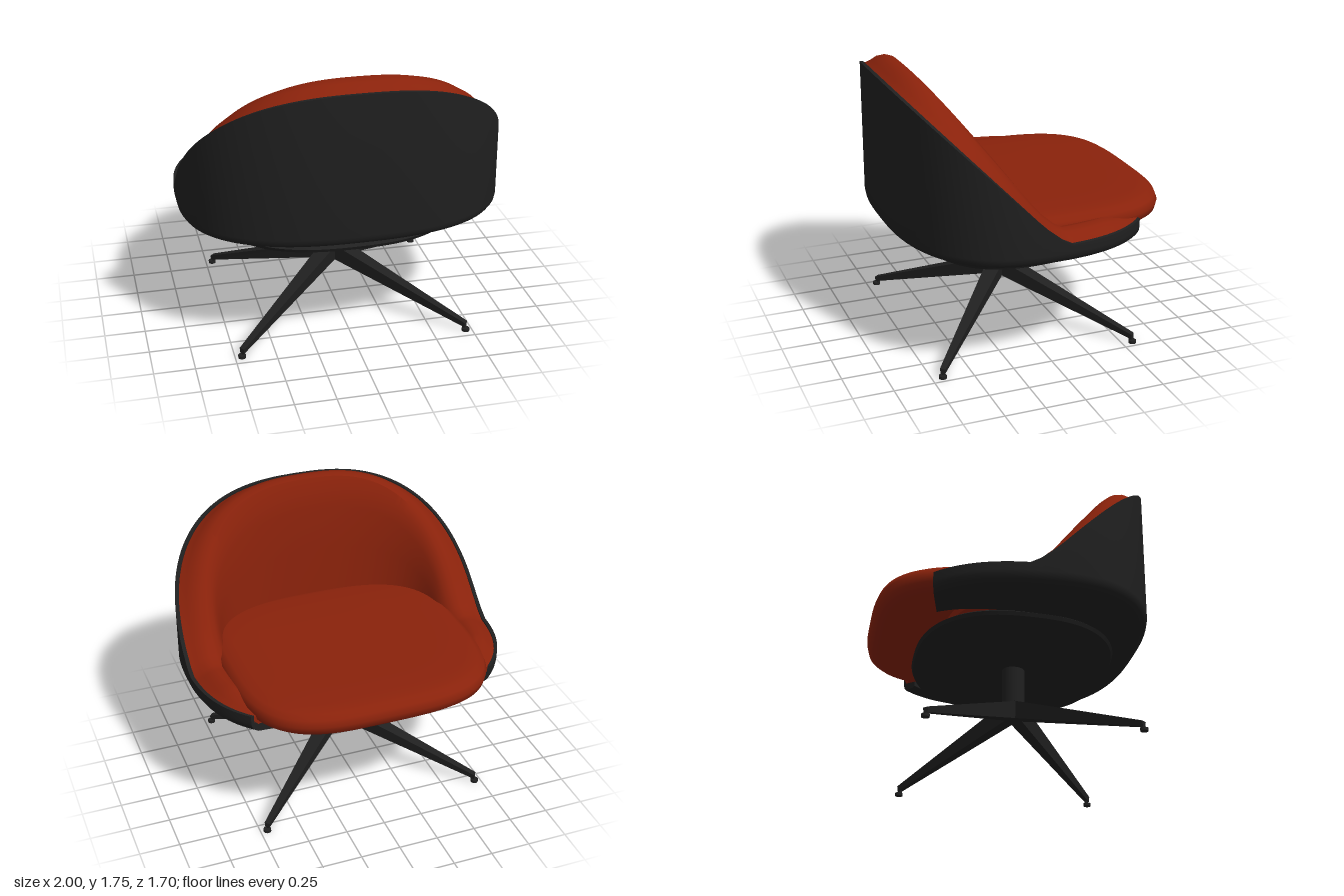
import * as THREE from 'three';
import { toCreasedNormals } from 'three/addons/utils/BufferGeometryUtils.js';

const fabric = new THREE.MeshStandardMaterial({ color: 0x8a220b });
fabric.name = 'rust fabric';
const black = new THREE.MeshStandardMaterial({ color: 0x202020 });
black.name = 'black';

// Point on a superellipse plan, moved inwards by inset
function planPoint(o, angle, inset) {
  const c = Math.cos(angle), s = Math.sin(angle), e = 2 / o.n;
  const a = Math.max(0, o.a - inset);
  const b = Math.max(0, s > 0 ? o.back - inset : o.front - inset * o.frontInset);
  return [a * Math.sign(c) * Math.abs(c) ** e, o.z + b * Math.sign(s) * Math.abs(s) ** e];
}

// Sweeps a section of [inset, height] points around a plan.
// Partial sweeps have closed sections with end caps.
function sweep(plan, section, from = 0, to = Math.PI * 2, capped = false, steps = 96) {
  const pos = [], index = [];
  let count = 0, first;
  for (let i = 0; i <= steps; i++) {
    const t = from + (to - from) * i / steps;
    const ring = section(planPoint(plan, t, 0)[1]);
    count = ring.length;
    first ??= ring;
    for (const [inset, y] of ring) {
      const [x, z] = planPoint(plan, t, inset);
      pos.push(x, y, z);
    }
  }
  for (let i = 0; i < steps; i++) {
    for (let j = 0; j < (capped ? count : count - 1); j++) {
      const k = (j + 1) % count;
      const a = i * count + j, b = a + count, c = (i + 1) * count + k, d = i * count + k;
      index.push(a, b, c, a, c, d);
    }
  }
  if (capped) {
    const flat = first.map(([d, y]) => new THREE.Vector2(-d, y));
    for (const [a, b, c] of THREE.ShapeUtils.triangulateShape(flat, [])) {
      const area = THREE.ShapeUtils.area([flat[a], flat[b], flat[c]]);
      const tri = area < 0 ? [a, b, c] : [a, c, b];
      index.push(...tri);
      index.push(...tri.reverse().map((v) => v + steps * count));
    }
  }
  const g = new THREE.BufferGeometry();
  g.setAttribute('position', new THREE.Float32BufferAttribute(pos, 3));
  g.setIndex(index);
  return toCreasedNormals(g, 0.7);
}

// Height of the shell rim: flat arms, then a slanted back
function rimHeight(z) {
  if (z < 0) return 0.87;
  if (z < 0.15) return 0.87 + z * 0.8;
  return 0.99 + (z - 0.15) * 1.014;
}

export function createModel() {
  const chair = new THREE.Group();
  chair.name = 'swivelLoungeChair';
  const add = (name, geometry, material, parent = chair) => {
    const mesh = new THREE.Mesh(geometry, material);
    mesh.name = name;
    parent.add(mesh);
    return mesh;
  };

  // Wrap-around shell, open towards -z
  const wrap = { a: 1, back: 0.75, front: 0.87, z: 0.1, n: 2.55, frontInset: 0.25 };
  const start = -0.761, end = Math.PI + 0.761;
  add('shell', sweep(wrap, (z) => {
    const rim = rimHeight(z), lift = 0.05 * Math.max(0, (0.1 - z) / 0.65);
    return [[0, rim], [0, 0.82], [0.005, 0.795], [0.02, 0.772], [0.06, 0.75], [0.23, 0.67 + lift],
      [0.27, 0.67 + lift], [0.27, 0.7 + lift], [0.06, 0.8], [0.024, 0.83], [0.024, rim]];
  }, start, end, true), black);

  // Upholstered lining with a rolled edge
  add('lining', sweep(wrap, (z) => {
    const rim = rimHeight(z);
    const roll = 0.05 * THREE.MathUtils.clamp((z + 0.55) / 0.25, 0, 1);
    const wall = (k) => 0.82 + (rim - 0.82) * k;
    return [[0.29, 0.8], [0.28, wall(0.15)], [0.27, wall(0.5)], [0.245, wall(0.82)],
      [0.225, wall(0.93) + roll * 0.4], [0.19, rim + roll * 0.8], [0.15, rim + roll],
      [0.1, rim + roll * 0.75], [0.07, rim + roll * 0.3], [0.023, rim - 0.01],
      [0.025, 0.82], [0.06, 0.8]];
  }, start, end, true), fabric);

  // Seat cushion and the padded base below it
  add('seatCushion', sweep({ a: 0.8, back: 0.66, front: 0.85, z: 0, n: 3.5, frontInset: 1 }, () => [
    [1, 0.96], [0.3, 0.958], [0.12, 0.954], [0.05, 0.943], [0.015, 0.92], [0, 0.88],
    [0.01, 0.835], [0.04, 0.808], [0.08, 0.8], [1, 0.8]]), fabric);
  add('seatBase', sweep({ a: 0.74, back: 0.5, front: 0.42, z: 0, n: 2.8, frontInset: 1 }, () => [
    [1, 0.82], [0, 0.82], [0, 0.75], [0.04, 0.71], [1, 0.71]]), fabric);

  // Rounded, slightly tilted plate under the seat
  const plate = add('underPlate', sweep({ a: 0.75, back: 0.61, front: 0.61, z: 0, n: 2.5, frontInset: 1 }, () => [
    [1, 0.035], [0.09, 0.035], [0.02, 0.025], [0, 0.01], [0.01, -0.012], [0.06, -0.025],
    [0.2, -0.035], [1, -0.035]]), black);
  plate.position.set(0, 0.662, 0.04);
  plate.rotation.x = 0.035;

  // Pedestal
  const base = new THREE.Group();
  base.name = 'base';
  base.position.z = 0.06;
  chair.add(base);
  add('column', new THREE.CylinderGeometry(0.07, 0.07, 0.27, 32), black, base).position.y = 0.515;

  // Four tapered diagonal legs with foot pads
  const footX = 0.708, footZ = 0.626, length = Math.hypot(footX, footZ);
  const legShape = new THREE.BoxGeometry(1, 1, 1).toNonIndexed();
  const p = legShape.attributes.position;
  for (let i = 0; i < p.count; i++) {
    const t = p.getX(i) + 0.5, top = p.getY(i) > 0;
    const y = top ? THREE.MathUtils.lerp(0.415, 0.06, t) : THREE.MathUtils.lerp(0.3, 0.026, t);
    const half = THREE.MathUtils.lerp(0.055, 0.018, t) * (top ? 1 : 0.75);
    p.setXYZ(i, t * length, y, Math.sign(p.getZ(i)) * half);
  }
  legShape.computeVertexNormals();
  const footShape = new THREE.CylinderGeometry(0.024, 0.024, 0.018, 16);
  const pinShape = new THREE.CylinderGeometry(0.01, 0.01, 0.03, 10);
  for (const sx of [-1, 1]) {
    for (const sz of [-1, 1]) {
      add('leg', legShape, black, base).rotation.y = Math.atan2(-sz * footZ, sx * footX);
      add('footPad', footShape, black, base).position.set(sx * footX, 0.009, sz * footZ);
      add('footPin', pinShape, black, base).position.set(sx * footX * 0.985, 0.025, sz * footZ * 0.985);
    }
  }
  return chair;
}
